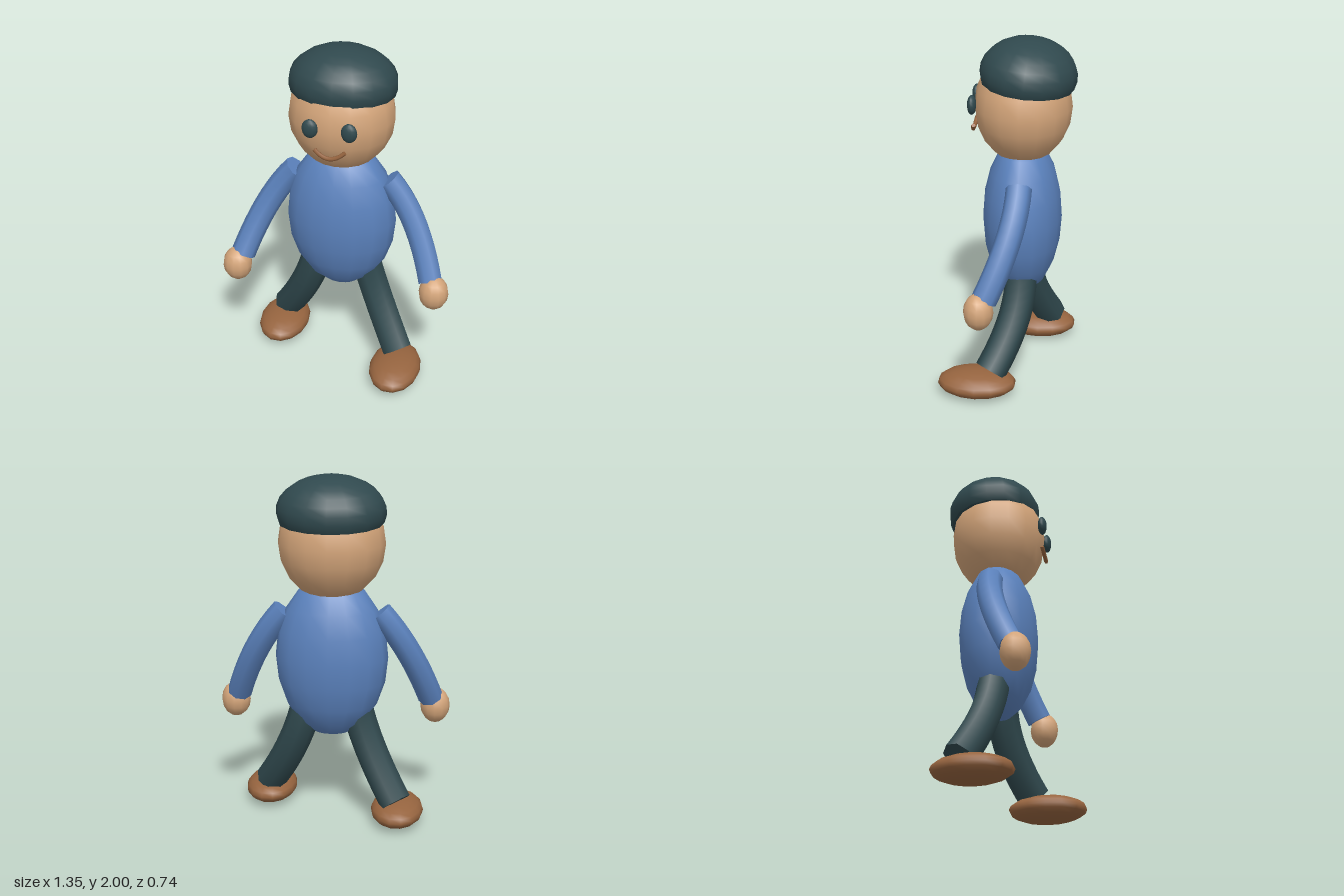
import * as THREE from 'three';

export function createModel() {
  const model = new THREE.Group();
  model.name = 'walkingMan';

  const mat = (name, color) => {
    const m = new THREE.MeshStandardMaterial({ color });
    m.name = name;
    return m;
  };
  const skin = mat('skin', 0xd4a57a);
  const blue = mat('blueShirt', 0x5b82bd);
  const dark = mat('darkTeal', 0x30494e);
  const brown = mat('brown', 0x96643f);

  const add = (name, geometry, material) => {
    const mesh = new THREE.Mesh(geometry, material);
    mesh.name = name;
    model.add(mesh);
    return mesh;
  };

  // Ellipsoid from a scaled sphere
  const blob = (name, material, pos, radii, w = 16, h = 10) => {
    const mesh = add(name, new THREE.SphereGeometry(1, w, h), material);
    mesh.position.set(...pos);
    mesh.scale.set(...radii);
    return mesh;
  };

  // Bent tube along a quadratic curve, with flat end discs
  const limb = (name, material, points, radius, sides = 8) => {
    const [a, b, c] = points.map((p) => new THREE.Vector3(...p));
    const curve = new THREE.QuadraticBezierCurve3(a, b, c);
    const tube = new THREE.TubeGeometry(curve, 10, radius, sides, false);
    add(name, tube, material);
    const pos = tube.attributes.position;
    for (const end of [0, 1]) {
      const centre = curve.getPoint(end);
      const normal = curve.getTangent(end).multiplyScalar(end ? 1 : -1);
      const verts = [...centre.toArray()];
      const normals = [...normal.toArray()];
      const index = [];
      const start = end * 10 * (sides + 1);
      for (let i = 0; i <= sides; i++) {
        verts.push(pos.getX(start + i), pos.getY(start + i), pos.getZ(start + i));
        normals.push(...normal.toArray());
        if (i < sides) index.push(0, ...(end ? [i + 1, i + 2] : [i + 2, i + 1]));
      }
      // Flip the winding if the disc would face into the tube
      const v = (k) => new THREE.Vector3().fromArray(verts, k * 3);
      const facing = v(index[1]).sub(centre).cross(v(index[2]).sub(centre)).dot(normal);
      if (facing < 0) index.reverse();
      const disc = new THREE.BufferGeometry();
      disc.setAttribute('position', new THREE.Float32BufferAttribute(verts, 3));
      disc.setAttribute('normal', new THREE.Float32BufferAttribute(normals, 3));
      disc.setIndex(index);
      add(name + (end ? 'LowerEnd' : 'UpperEnd'), disc, material);
    }
  };

  // Body and head
  blob('torso', blue, [0, 0.97, -0.075], [0.32, 0.47, 0.225]);
  blob('head', skin, [0, 1.62, -0.078], [0.3, 0.32, 0.272]);

  // Hair cap: tilted dome reaching a little below its widest ring, closed underneath
  const cap = new THREE.Group();
  cap.name = 'hairCap';
  cap.position.set(0, 1.8, -0.105);
  cap.rotation.x = -0.09;
  const theta = Math.PI * 0.6;
  const dome = new THREE.Mesh(new THREE.SphereGeometry(1, 16, 8, 0, Math.PI * 2, 0, theta), dark);
  dome.name = 'hairDome';
  dome.scale.set(0.305, 0.2, 0.27);
  const base = new THREE.Mesh(new THREE.CircleGeometry(Math.sin(theta), 16), dark);
  base.name = 'hairUnderside';
  base.rotation.x = Math.PI / 2;
  base.position.y = Math.cos(theta) * 0.2;
  base.scale.set(0.305, 0.27, 1);
  cap.add(dome, base);
  model.add(cap);

  // Mouth
  limb('mouth', brown, [[-0.085, 1.52, 0.19], [0, 1.435, 0.21], [0.085, 1.52, 0.19]], 0.012, 6);

  for (const [side, s] of [['left', 1], ['right', -1]]) {
    // Eyes, arms and hands mirror each other
    blob(side + 'Eye', dark, [s * 0.108, 1.645, 0.195], [0.045, 0.055, 0.026], 12, 8);
    limb(side + 'Arm', blue,
      [[s * 0.27, 1.23, -0.08], [s * 0.45, 1.03, -0.08], [s * 0.56, 0.69, 0.08]], 0.072);
    blob(side + 'Hand', skin, [s * 0.587, 0.635, 0.107], [0.086, 0.105, 0.083], 12, 8);

    // Left leg strides forward, right leg back
    limb(side + 'Leg', dark,
      [[s * 0.15, 0.65, -0.08], [s * 0.21, 0.42, -0.09], [s * 0.38, 0.15, -0.075 + s * 0.145]], 0.092);
    blob(side + 'Shoe', brown, [s * 0.385, 0.08, s * 0.147], [0.151, 0.077, 0.225], 14, 10);
  }

  return model;
}
